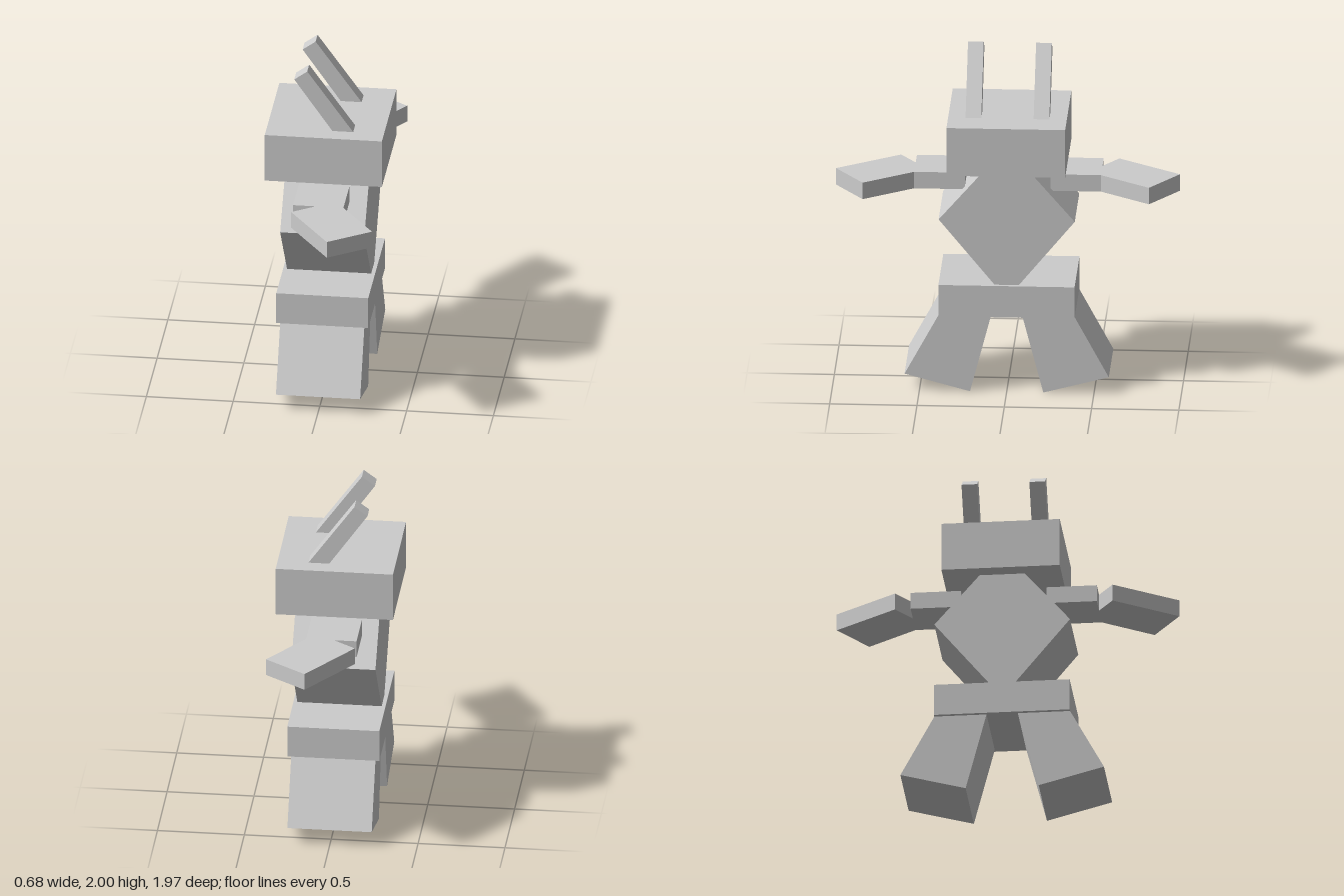
import * as THREE from 'three';

const grey = new THREE.MeshStandardMaterial({ color: 0xcccccc });
grey.name = 'plain grey';

// Flat outline extruded to a slab centred on its own plane
function slab(points, depth) {
  const shape = new THREE.Shape(points.map(([a, b]) => new THREE.Vector2(a, b)));
  return new THREE.ExtrudeGeometry(shape, { depth, bevelEnabled: false }).translate(0, 0, -depth / 2);
}
// Outline given as (z, y), thickness along x
const sideSlab = (points, width) => slab(points, width).rotateY(-Math.PI / 2);
// Outline given as (x, z), thickness along y
const topSlab = (points, height) => slab(points, height).rotateX(Math.PI / 2);

export function createModel() {
  const model = new THREE.Group();
  model.name = 'blockFigure';

  function add(name, geometry, x = 0, y = 0, z = 0) {
    const mesh = new THREE.Mesh(geometry, grey);
    mesh.name = name;
    mesh.position.set(x, y, z);
    model.add(mesh);
  }

  // Head, diamond torso and hip block
  add('head', new THREE.BoxGeometry(0.675, 0.29, 0.68), 0, 1.485, 0);
  add('torso', sideSlab([[0.39, 1.04], [0, 1.49], [-0.39, 1.04], [0, 0.565]], 0.485));
  add('hips', new THREE.BoxGeometry(0.53, 0.19, 0.78), 0, 0.555, 0);

  for (const s of [1, -1]) {
    const side = s > 0 ? 'front' : 'back';

    // Splayed tapering leg
    add(side + 'Leg', sideSlab(
      [[0.39, 0.46], [0.585, 0.1], [0.21, 0], [0.09, 0.46]].map(([z, y]) => [z * s, y]), 0.485));

    // Upper arm with a forearm bent at the elbow
    add(side + 'Arm', topSlab(
      [[-0.15, 0.245], [0.14, 0.245], [0.14, 0.535], [0.34, 0.82], [0.1, 0.985],
        [-0.15, 0.625], [-0.02, 0.535], [-0.15, 0.535]].map(([x, z]) => [x, z * s]), 0.1), 0, 1.24, 0);

    // Slanted ear
    add(side + 'Ear', slab([[0.04, 1.63], [0.16, 1.63], [-0.105, 2], [-0.18, 1.945]], 0.09), 0, 0, 0.195 * s);
  }
  return model;
}
